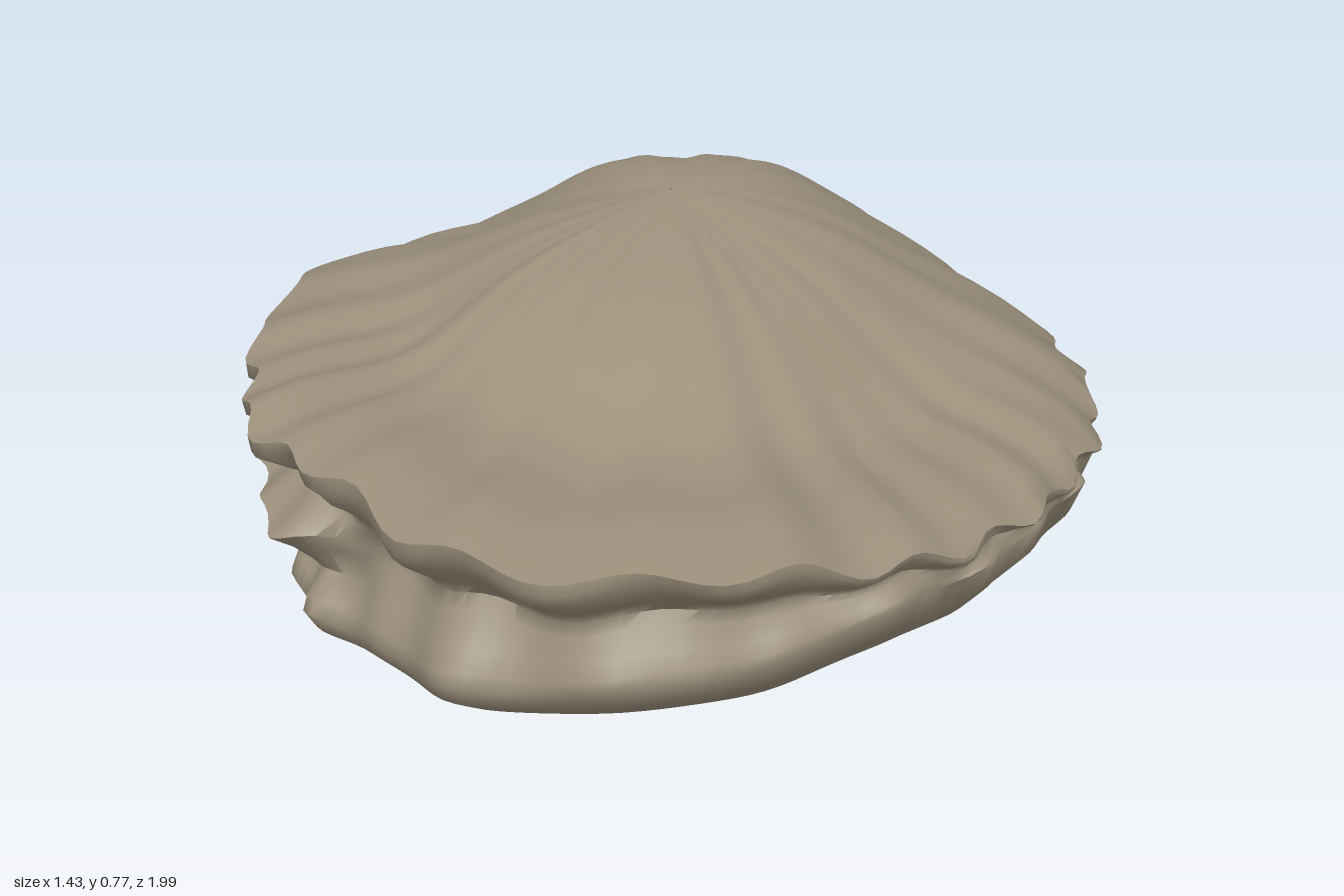
import * as THREE from 'three';
import { mergeVertices, toCreasedNormals } from 'three/addons/utils/BufferGeometryUtils.js';

const SEGMENTS = 200;
const TAU = Math.PI * 2;

// Rim outline, clockwise from the back: x, z, upper lip height, lower lip height
const RIM = [
  [0.02, -0.995, 0.30, 0.25], [0.2, -0.975, 0.31, 0.265], [0.36, -0.87, 0.33, 0.285],
  [0.46, -0.72, 0.35, 0.315], [0.55, -0.55, 0.38, 0.345], [0.635, -0.35, 0.42, 0.39],
  [0.685, -0.13, 0.465, 0.435], [0.71, 0.1, 0.49, 0.46], [0.69, 0.32, 0.52, 0.485],
  [0.625, 0.53, 0.545, 0.505], [0.52, 0.73, 0.575, 0.515], [0.38, 0.86, 0.595, 0.505],
  [0.2, 0.965, 0.635, 0.45], [-0.05, 0.985, 0.62, 0.40], [-0.3, 0.95, 0.645, 0.365],
  [-0.47, 0.79, 0.67, 0.345], [-0.61, 0.67, 0.675, 0.34], [-0.665, 0.47, 0.66, 0.335],
  [-0.70, 0.25, 0.635, 0.335], [-0.705, -0.05, 0.60, 0.34], [-0.655, -0.32, 0.54, 0.335],
  [-0.585, -0.52, 0.47, 0.32], [-0.52, -0.74, 0.40, 0.29], [-0.36, -0.90, 0.35, 0.27],
  [-0.18, -0.965, 0.32, 0.255],
];

const rimCurve = (column) => new THREE.CatmullRomCurve3(
  RIM.map((p) => new THREE.Vector3(p[0], p[column], p[1])), true, 'catmullrom', 0.5);
const upperCurve = rimCurve(2);
const lowerCurve = rimCurve(3);
const PEAK = new THREE.Vector3(-0.04, 0.77, -0.15);
const BASE = new THREE.Vector3(-0.03, 0, -0.2);
const { lerp, smoothstep } = THREE.MathUtils;
const bump = (v, middle, width) => Math.exp(-(((v - middle) / width) ** 2));

// Irregular scallops running round the rim
const ripple = (t, shift = 0) =>
  0.8 * Math.sin(TAU * (27 * t + 0.2 * Math.sin(TAU * 3 * t) + shift))
  + 0.4 * Math.sin(TAU * (17 * t + shift * 2));

// Point on a lip: height h runs from lower lip (0) to upper lip (1),
// with separate groove insets for the front and the three-lipped right flank
function lipPoint(t, h, frontInset, flankInset, wave) {
  const up = upperCurve.getPoint(t);
  const low = lowerCurve.getPoint(t);
  const gap = up.y - low.y;
  const inset = lerp(frontInset, flankInset, smoothstep(-up.x, 0.42, 0.65));
  const hinge = bump(up.x, -0.11, 0.17) * bump(up.z, -1, 0.15);
  const scale = 1 - gap * (0.24 * (1 - h) + inset) - 0.07 * hinge * h
    + 0.018 * wave * ripple(t, (1 - h) * 0.3);
  return new THREE.Vector3(
    up.x * scale,
    low.y + gap * h + 0.01 * wave * ripple(t, 0.3 + h * 0.2),
    up.z * scale);
}

// Domed top, dished towards the front, with a small dent at the hinge
function topPoint(r, t) {
  const rim = lipPoint(t, 1, 0, 0, 1);
  const p = PEAK.clone().lerp(rim, r);
  const front = smoothstep(rim.z, -0.2, 0.8);
  const side = smoothstep(-rim.x, 0.2, 0.7);
  const back = smoothstep(-rim.z, 0.2, 0.9);
  const power = 1.75 - 0.55 * Math.max(front, side) + 0.4 * back;
  p.y = lerp(PEAK.y, rim.y, r ** power);
  p.y -= (0.02 + 0.05 * front) * bump(r, 0.65, 0.2) * (1 - r ** 8);
  p.y += 0.005 * ripple(t, 0.1 + r * 0.4) * bump(r, 0.95, 0.08) * (1 - r ** 10);
  p.y += 0.02 * Math.sin(p.x * 9 + p.z * 5) * Math.sin(p.z * 8 - p.x * 3) * r * r * (1 - r);
  p.y -= 0.05 * bump(p.x, -0.12, 0.14) * bump(p.z, -0.88, 0.05);
  return p;
}

// Smooth bowl underneath
function bowlPoint(r, t) {
  const rim = lipPoint(t, 0, 0, 0, 0);
  const edge = lipPoint(t, 0, 0, 0, 1);
  const p = BASE.clone().lerp(rim, r).lerp(edge, r ** 9);
  p.y = lerp(rim.y, edge.y, r ** 9) * r ** 2.1;
  return p;
}

// Surface through a list of rings, ordered from the top down
function loft(rings) {
  const position = [];
  const index = [];
  rings.forEach((ring) => {
    for (let i = 0; i < SEGMENTS; i++) position.push(...ring(i / SEGMENTS).toArray());
  });
  for (let k = 0; k < rings.length - 1; k++) {
    for (let i = 0; i < SEGMENTS; i++) {
      const j = (i + 1) % SEGMENTS;
      const a = k * SEGMENTS + i, b = a + SEGMENTS;
      const c = k * SEGMENTS + j, d = c + SEGMENTS;
      index.push(a, d, b, a, c, d);
    }
  }
  const geometry = new THREE.BufferGeometry();
  geometry.setAttribute('position', new THREE.Float32BufferAttribute(position, 3));
  geometry.setIndex(index);
  return toCreasedNormals(mergeVertices(geometry, 1e-5), 1.1);
}

export function createModel() {
  const group = new THREE.Group();
  group.name = 'oyster';
  const shell = new THREE.MeshStandardMaterial({ color: 0x9d917d, side: THREE.DoubleSide });
  shell.name = 'shell grey brown';

  const radii = Array.from({ length: 19 }, (_, i) => Math.max(0.002, i / 18));
  const lip = (...shape) => (t) => lipPoint(t, ...shape);
  const groove = lip(0.68, 0.14, 0.36, 0.6);

  // Upper valve: dome, curled lip and its underside
  const upper = new THREE.Mesh(loft([
    ...radii.map((r) => (t) => topPoint(r, t)),
    lip(0.92, -0.01, 0.0, 1), lip(0.8, 0.03, 0.19, 0.9), groove,
  ]), shell);
  upper.name = 'upperValve';

  // Lower valve: grooved wall, lower lip and bowl
  const lower = new THREE.Mesh(loft([
    groove, lip(0.56, 0.28, 0.15, 0.7), lip(0.46, 0.34, -0.08, 0.8),
    lip(0.36, 0.28, 0.05, 0.7), lip(0.2, 0.14, 0.2, 0.7), lip(0.08, 0.04, 0.06, 1),
    ...radii.slice().reverse().map((r) => (t) => bowlPoint(r, t)),
  ]), shell);
  lower.name = 'lowerValve';

  group.add(upper, lower);
  return group;
}
